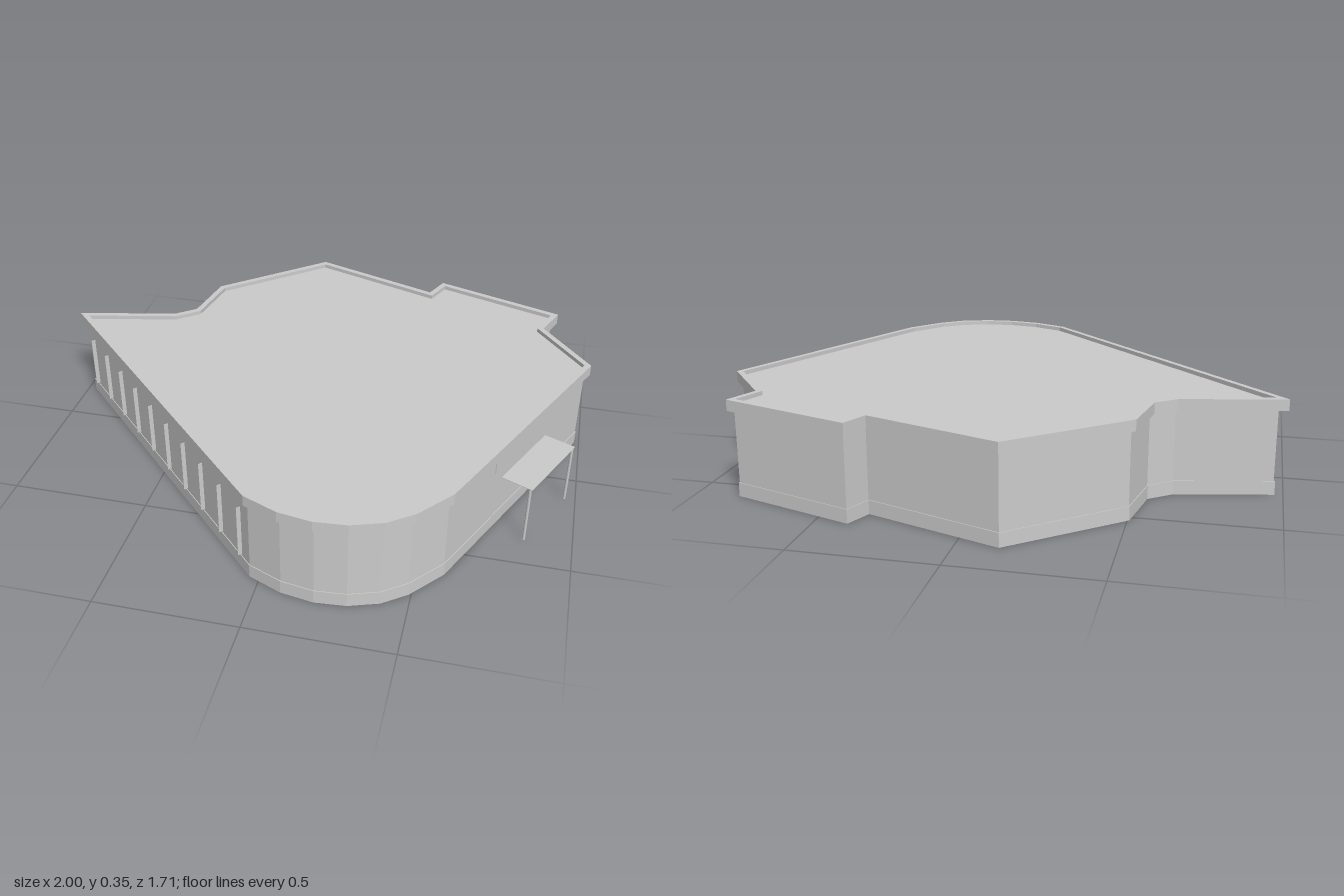
import * as THREE from 'three';

const grey = new THREE.MeshStandardMaterial({ color: 0xcccccc, flatShading: true, side: THREE.DoubleSide });

// Roof outline as [x, z]
const OUTLINE = [
  [-1, -0.19], [-0.63, -0.27], [-0.557, -0.328], [-0.52, -0.535], [-0.144, -0.855],
  [0.337, -0.682], [0.378, -0.777], [0.861, -0.613], [0.812, -0.488], [1, -0.25],
  [0.604, 0.622], [0.503, 0.745], [0.417, 0.809], [0.31, 0.846], [0.198, 0.855],
  [0.08, 0.835], [-0.043, 0.782],
];

// Mitred inward offset of the outline, as shape points (shape y = -z)
function inset(d) {
  const n = OUTLINE.length;
  const normal = (a, b) => {
    const v = new THREE.Vector2(b[0] - a[0], b[1] - a[1]).normalize();
    return new THREE.Vector2(-v.y, v.x);
  };
  return OUTLINE.map((p, i) => {
    const n1 = normal(OUTLINE[(i + n - 1) % n], p);
    const n2 = normal(p, OUTLINE[(i + 1) % n]);
    const m = n1.clone().add(n2).multiplyScalar(d / (1 + n1.dot(n2)));
    return new THREE.Vector2(p[0] + m.x, -(p[1] + m.y));
  });
}

// Upright prism of the outline; with an inner offset it becomes a hollow band
function prism(name, y0, y1, outer, inner) {
  const shape = new THREE.Shape(inset(outer));
  if (inner) shape.holes.push(new THREE.Path(inset(inner)));
  const geo = new THREE.ExtrudeGeometry(shape, { depth: y1 - y0, bevelEnabled: false });
  geo.rotateX(-Math.PI / 2).translate(0, y0, 0);
  const mesh = new THREE.Mesh(geo, grey);
  mesh.name = name;
  return mesh;
}

function box(name, size, pos, turn) {
  const mesh = new THREE.Mesh(new THREE.BoxGeometry(...size), grey);
  mesh.name = name;
  mesh.position.set(...pos);
  mesh.rotation.y = turn;
  return mesh;
}

export function createModel() {
  const group = new THREE.Group();
  group.name = 'building';

  // Shell, open underneath
  group.add(prism('walls', 0, 0.31, 0.0175, 0.0195));
  group.add(prism('plinth', 0, 0.05, 0.0148, 0.0175));

  // Roof slab, slightly below the top of its rim
  group.add(prism('roofRim', 0.31, 0.35, 0, 0.021));
  group.add(prism('roofSlab', 0.31, 0.335, 0.021));

  // Upright fins along the long front wall
  const fins = new THREE.Group();
  fins.name = 'facadeFins';
  const [a, b] = [OUTLINE[0], OUTLINE[OUTLINE.length - 1]];
  const slope = (b[1] - a[1]) / (b[0] - a[0]);
  const angle = Math.atan(slope);
  for (let i = 0; i < 10; i++) {
    const x = -0.935 + i * 0.0956;
    // Centre lies 0.0098 inside the roof edge
    const z = a[1] + slope * (x - a[0]) - 0.0098 / Math.cos(angle);
    fins.add(box('fin', [0.002, 0.2, 0.0155], [x, 0.16, z], -angle));
  }
  group.add(fins);

  // Entrance on the left wall: canopy on two posts, panel above it
  const entrance = new THREE.Group();
  entrance.name = 'entrance';
  const turn = -0.427;
  entrance.add(box('canopyRoof', [0.117, 0.002, 0.31], [0.853, 0.221, 0.216], turn));
  entrance.add(box('wallPanel', [0.003, 0.06, 0.32], [0.78, 0.27, 0.197], turn));
  for (const [x, z] of [[0.835, 0.374], [0.961, 0.113]]) {
    const post = new THREE.Mesh(new THREE.CylinderGeometry(0.005, 0.005, 0.22, 8), grey);
    post.name = 'canopyPost';
    post.position.set(x, 0.11, z);
    entrance.add(post);
  }
  group.add(entrance);

  return group;
}
